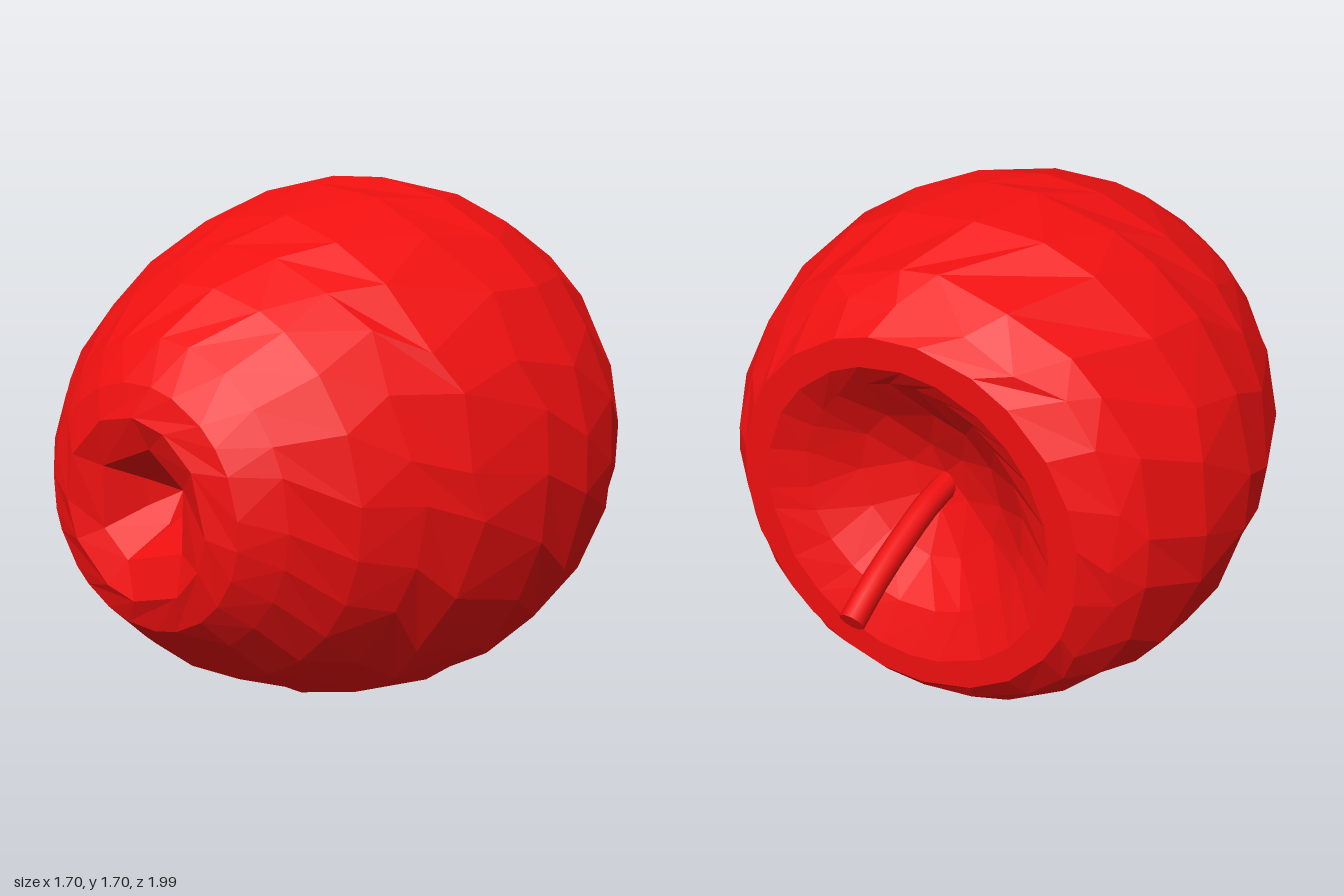
import * as THREE from 'three';

const SEGMENTS = 24;
const AXIS_Y = 0.855;

// repeatable noise in -0.5..0.5
const noise = (a, b) => {
  const s = Math.sin(a * 127.1 + b * 311.7) * 43758.5453;
  return s - Math.floor(s) - 0.5;
};

// Faceted fruit lying along z: radius and z per ring, from the stem pit to the front dimple
function fruitGeometry() {
  const profile = [
    [0, -0.44], [0.11, -0.47], [0.25, -0.54], [0.38, -0.64], [0.49, -0.69], [0.58, -0.69],
    [0.66, -0.62], [0.735, -0.52], [0.82, -0.3], [0.852, -0.07], [0.83, 0.15], [0.76, 0.41],
    [0.68, 0.57], [0.59, 0.73], [0.46, 0.88], [0.36, 0.97], [0.27, 1], [0.18, 0.965],
    [0.08, 0.87], [0, 0.8],
  ];
  const geometry = new THREE.LatheGeometry(
    profile.map(([r, z]) => new THREE.Vector2(r, z)), SEGMENTS);
  const pos = geometry.attributes.position;
  const rings = profile.length;
  for (let k = 0; k < pos.count; k++) {
    const ring = k % rings;
    let i = Math.floor(k / rings) % SEGMENTS;
    const [r, z] = profile[ring];
    // fewer sides where the rings get small
    const step = r < 0.2 ? 4 : r < 0.3 ? 2 : 1;
    i -= i % step;
    // uneven facets: stagger the rings, then shift points along the surface
    const angle = (i + (ring % 2) * 0.5 + noise(i, ring) * 0.5 * step) / SEGMENTS * Math.PI * 2;
    const inBody = r > 0.62;
    const slide = inBody && r < 0.84 ? noise(i + 50, ring) * 0.06 : 0;
    const next = profile[Math.min(ring + 1, rings - 1)];
    const slope = inBody ? (next[0] - r) / (next[1] - z) : 0;
    const radius = r + slide * slope;
    // stem pit is steeper on its upper side
    const lift = z < -0.4 && r < 0.4 ? 0.04 : z > 0.9 ? -0.012 : 0;
    pos.setXYZ(k, Math.sin(angle) * radius, Math.cos(angle) * radius + lift, z + slide);
  }
  // the ring plane was mirrored, so turn the faces back outward
  const index = geometry.index;
  const a = new THREE.Vector3(), b = new THREE.Vector3(), c = new THREE.Vector3();
  let volume = 0;
  for (let t = 0; t < index.count; t += 3) {
    a.fromBufferAttribute(pos, index.getX(t));
    b.fromBufferAttribute(pos, index.getX(t + 1));
    c.fromBufferAttribute(pos, index.getX(t + 2));
    volume += a.dot(b.cross(c));
  }
  if (volume < 0) {
    for (let t = 0; t < index.count; t += 3) {
      const first = index.getX(t);
      index.setX(t, index.getX(t + 1));
      index.setX(t + 1, first);
    }
  }
  geometry.computeVertexNormals();
  return geometry;
}

export function createModel() {
  const group = new THREE.Group();
  group.name = 'apple';
  const red = 0xf01010;

  const fruit = new THREE.Mesh(fruitGeometry(),
    new THREE.MeshStandardMaterial({ color: red, flatShading: true }));
  fruit.name = 'fruit';
  fruit.position.y = AXIS_Y;
  group.add(fruit);

  // bent stem rising out of the back pit
  const stem = new THREE.Group();
  stem.name = 'stem';
  const stemMaterial = new THREE.MeshStandardMaterial({ color: red });
  const path = new THREE.CatmullRomCurve3([
    [0.86, -0.42], [0.84, -0.56], [0.795, -0.7], [0.74, -0.84], [0.67, -0.97],
  ].map(([y, z]) => new THREE.Vector3(-0.005, y, z)));
  const stalk = new THREE.Mesh(new THREE.TubeGeometry(path, 8, 0.04, 10), stemMaterial);
  stalk.name = 'stemStalk';
  const cap = new THREE.Mesh(new THREE.CircleGeometry(0.04, 10), stemMaterial);
  cap.name = 'stemEnd';
  cap.position.copy(path.getPoint(1));
  cap.quaternion.setFromUnitVectors(new THREE.Vector3(0, 0, 1), path.getTangent(1));
  stem.add(stalk, cap);
  group.add(stem);

  return group;
}
